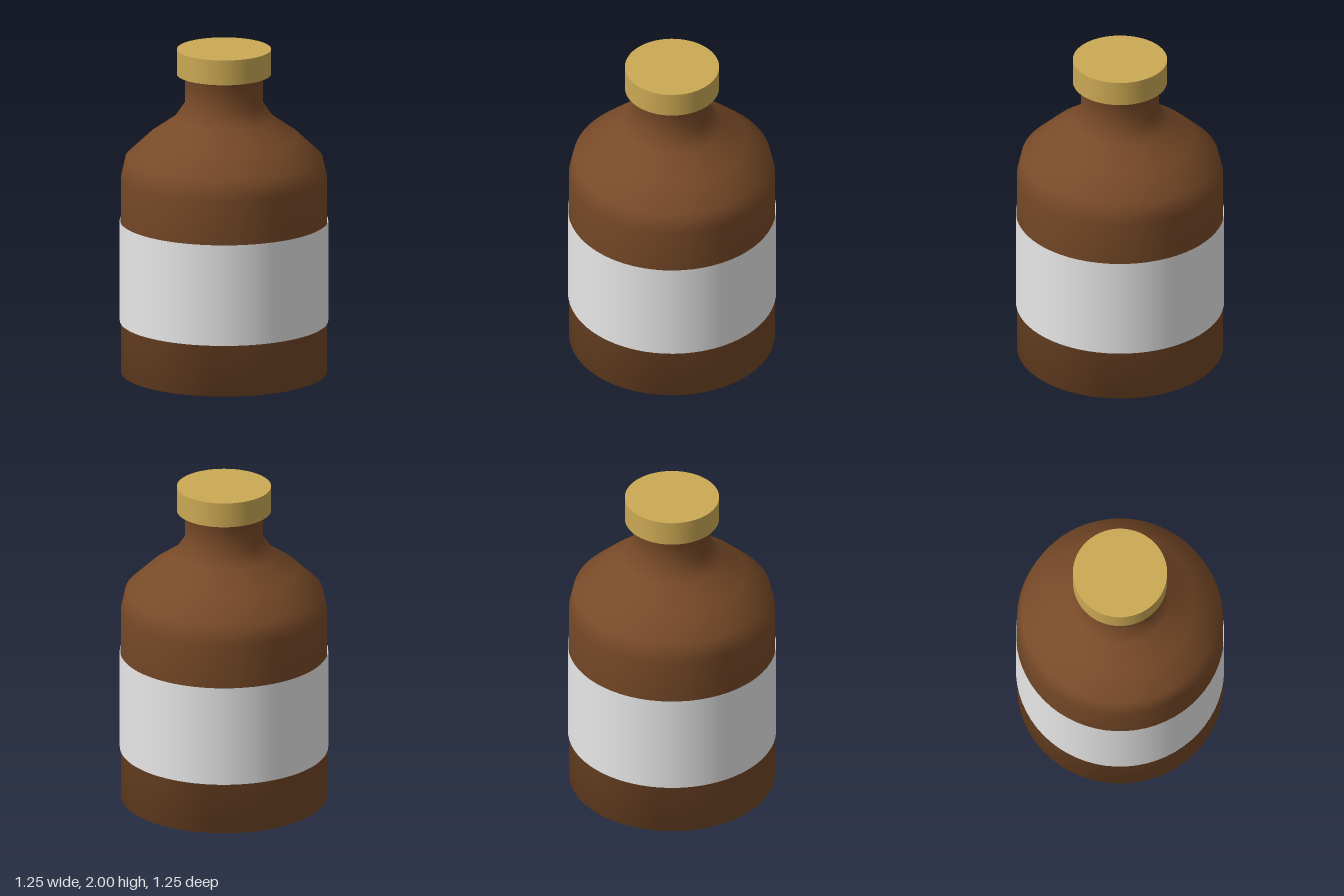
import * as THREE from 'three';

const SEGMENTS = 64;

export function createModel() {
  const glass = new THREE.MeshStandardMaterial({ name: 'brown glass', color: 0x784a28 });
  const paper = new THREE.MeshStandardMaterial({ name: 'white paper', color: 0xeeeeee, side: THREE.DoubleSide });
  const brass = new THREE.MeshStandardMaterial({ name: 'gold cap', color: 0xcba954 });

  const model = new THREE.Group();
  model.name = 'bottle';
  const add = (name, geometry, material, y = 0) => {
    const mesh = new THREE.Mesh(geometry, material);
    mesh.name = name;
    mesh.position.y = y;
    model.add(mesh);
  };

  // Body: base, straight wall, sloping shoulder, neck and flared lip
  const profile = [
    [0, 0], [0.62, 0], [0.62, 1.21], [0.593, 1.33], [0.45, 1.465],
    [0.3, 1.57], [0.236, 1.665], [0.236, 1.825], [0.275, 1.85],
  ].map(([r, y]) => new THREE.Vector2(r, y));
  add('bottleBody', new THREE.LatheGeometry(profile, SEGMENTS), glass);

  // Paper band wrapped around the wall
  add('label', new THREE.CylinderGeometry(0.627, 0.627, 0.624, SEGMENTS, 1, true), paper, 0.628);

  // Flat disc cap
  add('cap', new THREE.CylinderGeometry(0.284, 0.284, 0.154, SEGMENTS), brass, 1.923);

  return model;
}
